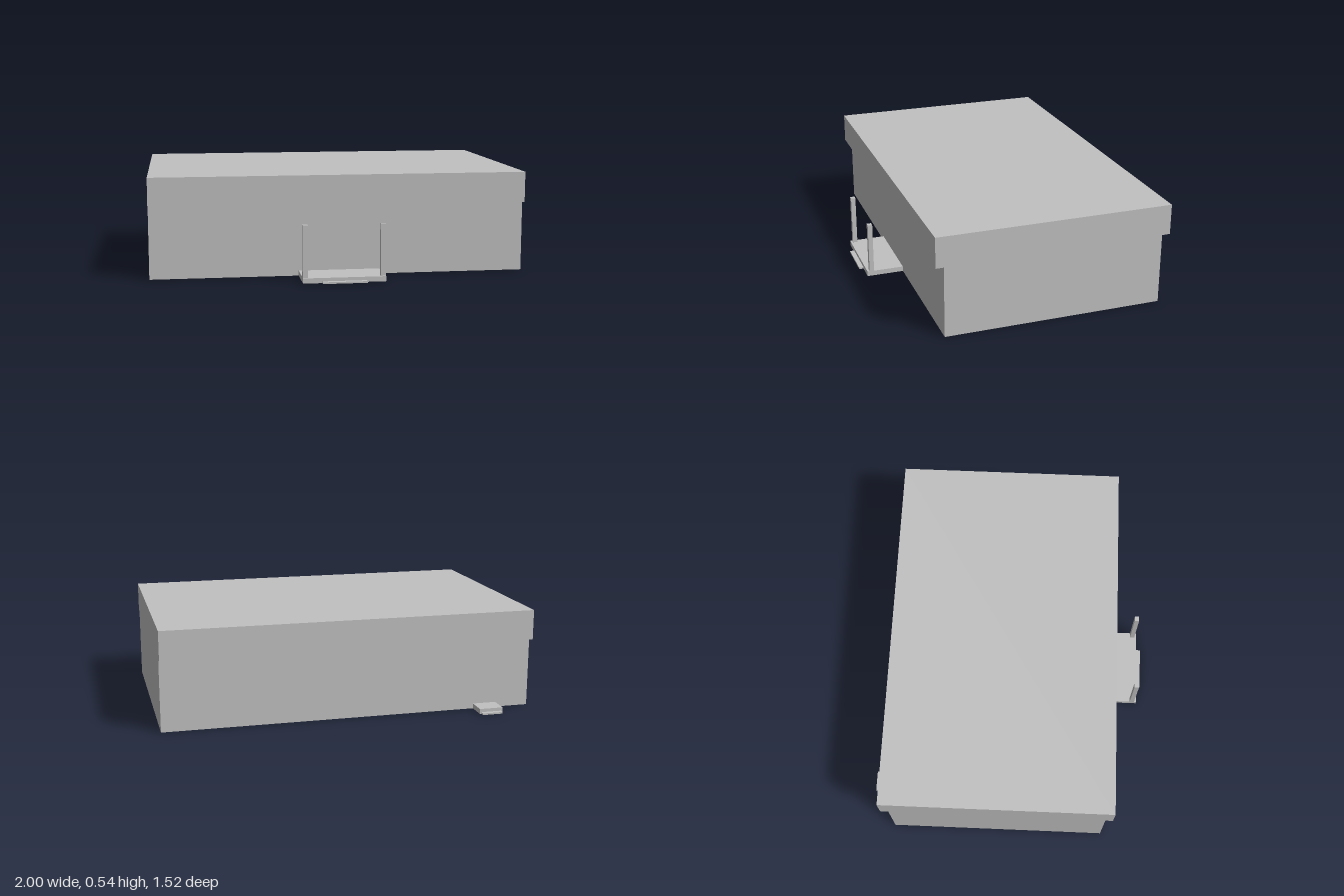
import * as THREE from 'three';

export function createModel() {
  const model = new THREE.Group();
  const grey = new THREE.MeshStandardMaterial({ color: 0xc0c0c0 });
  grey.name = 'light grey';

  // Box given by its extents along x, y and z
  function block(name, [x0, x1], [y0, y1], [z0, z1], parent = model) {
    const mesh = new THREE.Mesh(new THREE.BoxGeometry(x1 - x0, y1 - y0, z1 - z0), grey);
    mesh.name = name;
    mesh.position.set((x0 + x1) / 2, (y0 + y1) / 2, (z0 + z1) / 2);
    parent.add(mesh);
  }

  // Main volume: walls flush with the roof at the sides, eaves front and back
  block('walls', [-1, 1], [0, 0.378], [-0.633, 0.535]);
  block('roof', [-1, 1], [0.378, 0.54], [-0.677, 0.576]);

  // Front porch with a low step and two square posts
  const porch = new THREE.Group();
  porch.name = 'frontPorch';
  model.add(porch);
  block('porchDeck', [-0.217, 0.217], [0, 0.027], [0.535, 0.735], porch);
  block('porchStep', [-0.116, 0.116], [0, 0.009], [0.735, 0.759], porch);
  for (const [side, s] of [['left', 1], ['right', -1]]) {
    const x = s * 0.2035;
    block(side + 'Post', [x - 0.0135, x + 0.0135], [0.027, 0.301], [0.698, 0.723], porch);
  }

  // Back door landing with its step
  const landing = new THREE.Group();
  landing.name = 'backLanding';
  model.add(landing);
  block('landingDeck', [-0.816, -0.687], [0, 0.027], [-0.735, -0.633], landing);
  block('landingStep', [-0.807, -0.695], [0, 0.009], [-0.759, -0.735], landing);

  return model;
}
